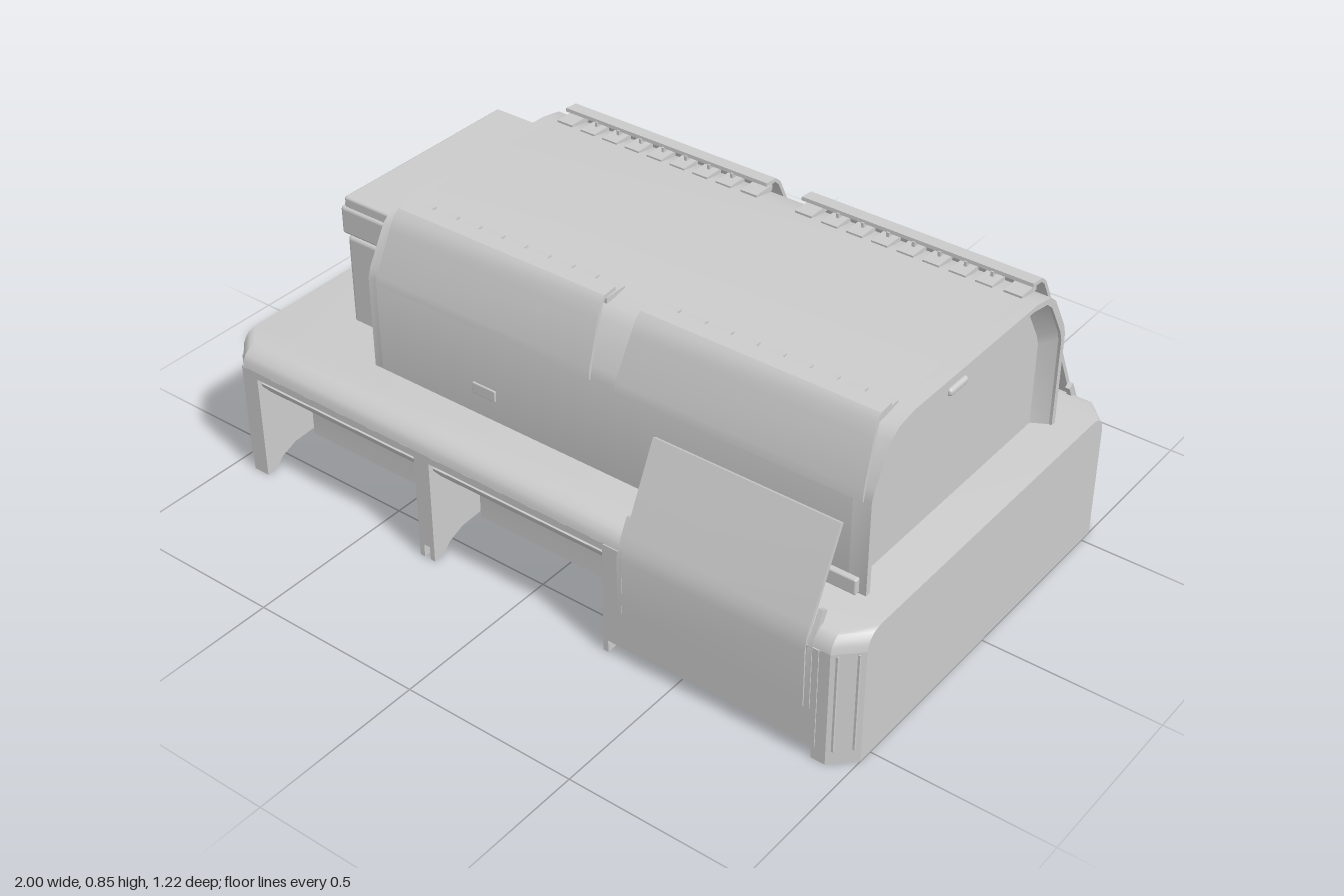
import * as THREE from 'three';
import { toCreasedNormals } from 'three/addons/utils/BufferGeometryUtils.js';
import { RoundedBoxGeometry } from 'three/addons/geometries/RoundedBoxGeometry.js';
import { ConvexGeometry } from 'three/addons/geometries/ConvexGeometry.js';

const grey = new THREE.MeshStandardMaterial({ color: 0xcccccc, side: THREE.DoubleSide });
const MID = 0.44; // mid height of the container

export function createModel() {
  const root = new THREE.Group();
  const add = (name, geo) => {
    const m = new THREE.Mesh(geo, grey);
    m.name = name;
    root.add(m);
    return m;
  };
  const box = (name, x0, x1, y0, y1, z0, z1, r = 0) => {
    const s = [x1 - x0, y1 - y0, Math.abs(z1 - z0)];
    const m = add(name, r ? new RoundedBoxGeometry(...s, 3, r) : new THREE.BoxGeometry(...s));
    m.position.set((x0 + x1) / 2, (y0 + y1) / 2, (z0 + z1) / 2);
    return m;
  };
  // extrude a [z, y] outline along x
  const alongX = (pts, x0, x1, hole) => {
    const v = (list) => list.map(([z, y]) => new THREE.Vector2(-z, y));
    const s = new THREE.Shape(v(pts));
    if (hole) s.holes.push(new THREE.Path(v(hole)));
    const g = new THREE.ExtrudeGeometry(s, { depth: x1 - x0, bevelEnabled: false });
    return toCreasedNormals(g.rotateY(Math.PI / 2).translate(x0, 0, 0), 0.6);
  };
  // thin sheet that follows a [z, y] line
  const sheet = (line, t, x0, x1) => {
    const inner = line.map(([z, y], i) => {
      const a = line[Math.max(i - 1, 0)], b = line[Math.min(i + 1, line.length - 1)];
      const dz = b[0] - a[0], dy = b[1] - a[1], l = Math.hypot(dz, dy);
      return [z - (dy / l) * t, y + (dz / l) * t];
    });
    return alongX([...line, ...inner.reverse()], x0, x1);
  };
  // band of faces between two [z, y] rings at different x
  const loft = (a, xa, b, xb) => {
    const n = a.length, pos = [], idx = [];
    for (let i = 0; i < n; i++) {
      const j = (i + 1) % n;
      pos.push(xa, a[i][1], a[i][0], xb, b[i][1], b[i][0]);
      idx.push(2 * i, 2 * i + 1, 2 * j, 2 * j, 2 * i + 1, 2 * j + 1);
    }
    const g = new THREE.BufferGeometry();
    g.setAttribute('position', new THREE.Float32BufferAttribute(pos, 3));
    g.setIndex(idx);
    return toCreasedNormals(g, 0.6);
  };
  const flip = (line, s) => line.map(([z, y]) => [z * s, y]);

  // deck with rounded long edges and cut corners
  const deck = [];
  for (const sx of [-1, 1]) for (const sz of [-1, 1]) {
    for (const [z, y] of [[0.6, 0.335], [0.596, 0.354], [0.587, 0.368], [0.573, 0.379], [0.55, 0.385]]) {
      deck.push(new THREE.Vector3(0.94 * sx, y, z * sz), new THREE.Vector3(sx, y, (z - 0.06) * sz));
    }
  }
  add('deck', toCreasedNormals(new ConvexGeometry(deck), 0.5));

  // end walls, wrapped round the corners
  for (const sx of [-1, 1]) {
    const half = [[0.935, 0.57], [0.9, 0.57], [0.9, 0.6], [0.94, 0.6], [1, 0.54]];
    const plan = [[0.975, 0.53], ...half];
    const outline = [...plan, ...plan.map(([x, z]) => [x, -z]).reverse()];
    const s = new THREE.Shape(outline.map(([x, z]) => new THREE.Vector2(x * sx, z)));
    const g = new THREE.ExtrudeGeometry(s, { depth: 0.336, bevelEnabled: false });
    add('endWall', g.rotateX(-Math.PI / 2));
    // slim corner rails and feet
    for (const sz of [-1, 1]) {
      for (const d of [-0.018, 0.018]) {
        const rail = box('cornerRail', -0.003, 0.003, 0.04, 0.33, -0.003, 0.003);
        rail.position.set(sx * (0.97 + d), 0.185, sz * (0.57 - d));
      }
      box('cornerClip', sx * 0.945 - 0.02, sx * 0.945 + 0.02, 0.02, 0.045, sz * 0.54, sz * 0.575);
    }
  }

  // container running through the deck, with recessed end faces
  const upper = [[0.43, 0.655], [0.42, 0.685], [0.362, 0.785], [0.335, 0.808], [0.27, 0.82]];
  const ring = (inset) => {
    const q = upper.map(([z, y]) => [z - inset, y - inset * 0.8]);
    const right = [...q.map(([z, y]) => [z, 2 * MID - y]).reverse(), ...q];
    return [...right, ...flip(right, -1).reverse()];
  };
  add('container', alongX(ring(0), -0.59, 0.87));
  for (const [inner, outer] of [[0.87, 0.92], [-0.59, -0.615]]) {
    add('endRim', alongX(ring(0), Math.min(inner, outer), Math.max(inner, outer), ring(0.016)));
    add('endBevel', loft(ring(0.016), outer - Math.sign(outer) * 0.008, ring(0.04), inner));
  }
  box('endHandle', 0.86, 0.88, 0.704, 0.726, -0.04, 0.04, 0.009);

  // curled cover panels on all four long edges, vents along the top ones
  const curl = [[0.436, 0.65], [0.432, 0.675], [0.385, 0.79], [0.37, 0.825], [0.352, 0.841], [0.31, 0.845]];
  for (const sz of [-1, 1]) for (const [x0, x1] of [[-0.585, 0.115], [0.19, 0.9]]) {
    const c = (x0 + x1) / 2;
    for (const top of [1, -1]) {
      const mapY = (y) => (top > 0 ? y : 2 * MID - y);
      const g = sheet(curl.map(([z, y]) => [z * sz, mapY(y)]), 0.01 * sz * top, x0, x1);
      const p = g.attributes.position;
      for (let i = 0; i < p.count; i++) {
        const t = THREE.MathUtils.clamp((mapY(p.getY(i)) - 0.65) / 0.195, 0, 1);
        p.setX(i, c + (p.getX(i) - c) * (1 - 0.05 * t));
      }
      add('coverPanel', g);
    }
    for (let i = 0; i < 7; i++) {
      const x = c - 0.225 + i * 0.075;
      box('ventTooth', x - 0.024, x + 0.024, 0.812, 0.825, sz * 0.268, sz * 0.33);
      box('ventRib', x - 0.004, x + 0.004, 0.812, 0.838, sz * 0.305, sz * 0.345);
    }
    for (const x of [c - 0.305, c + 0.305]) box('panelBracket', x - 0.025, x + 0.025, 0.81, 0.826, sz * 0.27, sz * 0.34);
  }

  // both long sides
  const bays = [[-0.89, -0.33], [-0.28, 0.28]];
  for (const sz of [-1, 1]) {
    box('deckLip', -0.92, 0.92, 0.315, 0.336, sz * 0.575, sz * 0.6);
    const pocket = [[0.58, 0.33], [0.5, 0.315], [0.45, 0.28], [0.42, 0.23], [0.41, 0.17], [0.41, 0.035]];
    for (const [x0, x1] of [...bays, [0.295, 0.9]]) add('bayWall', sheet(flip(pocket, sz), 0.008 * sz, x0, x1));
    // slanted bar across each open bay
    const bar = [[0.592, 0.3], [0.588, 0.288], [0.563, 0.258], [0.552, 0.262], [0.57, 0.3]];
    for (const [x0, x1] of bays) add('bayBar', alongX(flip(bar, sz), x0 + 0.005, x1 - 0.005));
    // dividers with a curved lower edge
    const fin = [[0.6, 0.336], [0.6, 0.0], [0.57, 0.0], [0.54, 0.03], [0.49, 0.05], [0.4, 0.055], [0.4, 0.336]];
    for (const [x0, x1] of [[-0.91, -0.89], [-0.33, -0.315], [-0.295, -0.28], [0.28, 0.295], [0.9, 0.915]]) {
      add('divider', alongX(flip(fin, sz), x0, x1));
    }
    box('dividerFace', -0.33, -0.28, 0.04, 0.336, sz * 0.585, sz * 0.6);
    for (const x of [-0.595, 0.125, 0.185]) box('bayTab', x - 0.018, x + 0.018, 0.16, 0.23, sz * 0.42, sz * 0.445);

    // closed bay and raised side flap
    box('sidePanel', 0.285, 0.91, 0.04, 0.336, sz * 0.588, sz * 0.603);
    const flap = [[0.607, 0.15], [0.608, 0.32], [0.602, 0.355], [0.59, 0.385], [0.483, 0.61]];
    add('sideFlap', sheet(flip(flap, sz), 0.012 * sz, 0.345, 0.876));
    for (const x of [0.33, 0.88]) {
      const edge = [[0.606, 0.15], [0.606, 0.32], [0.598, 0.355], [0.565, 0.42]];
      add('flapHinge', sheet(flip(edge, sz), 0.02 * sz, x, x + 0.013));
    }
    const brace = [[0.57, 0.38], [0.55, 0.38], [0.495, 0.515], [0.5, 0.545]];
    for (const x of [0.37, 0.84]) add('flapBrace', alongX(flip(brace, sz), x, x + 0.012));

    // small slot on the container side
    box('sideSlot', -0.272, -0.195, 0.445, 0.48, sz * 0.425, sz * 0.434, 0.004);
  }
  box('sideLatch', 0.61, 0.9, 0.385, 0.43, 0.425, 0.445, 0.005);
  box('sideLatch', 0.5, 0.57, 0.435, 0.47, -0.442, -0.425, 0.005);

  // end locker with stepped lid, handle and feet
  box('locker', -0.812, -0.6, 0.375, 0.648, -0.305, 0.305, 0.012);
  box('lockerSeam', -0.8, -0.6, 0.64, 0.66, -0.295, 0.295);
  box('lockerLid', -0.822, -0.6, 0.655, 0.738, -0.312, 0.312, 0.01);
  box('lockerLidTop', -0.812, -0.6, 0.73, 0.767, -0.305, 0.305, 0.008);
  const handle = [[-0.8, 0.745, -0.28], [-0.83, 0.725, -0.28], [-0.838, 0.705, -0.26],
    [-0.838, 0.705, 0.26], [-0.83, 0.725, 0.28], [-0.8, 0.745, 0.28]];
  const path = new THREE.CurvePath();
  const pts = handle.map((p) => new THREE.Vector3(...p));
  for (let i = 1; i < pts.length; i++) path.add(new THREE.LineCurve3(pts[i - 1], pts[i]));
  add('lidHandle', new THREE.TubeGeometry(path, 60, 0.007, 6));
  for (const z of [-0.14, 0.14]) {
    const foot = new THREE.Shape([[-0.84, 0.385], [-0.805, 0.385], [-0.805, 0.45]].map((p) => new THREE.Vector2(...p)));
    add('lockerFoot', new THREE.ExtrudeGeometry(foot, { depth: 0.016, bevelEnabled: false }).translate(0, 0, z - 0.008));
  }

  // upright valve beside the locker
  const valve = [[0, 0.38], [0.03, 0.38], [0.03, 0.4], [0.022, 0.41], [0.022, 0.58], [0.032, 0.59], [0.032, 0.64], [0.018, 0.66], [0, 0.66]];
  const pipe = add('valve', toCreasedNormals(new THREE.LatheGeometry(valve.map((p) => new THREE.Vector2(...p)), 16), 0.6));
  pipe.position.set(-0.695, 0, -0.36);
  box('valveLever', -0.705, -0.685, 0.6, 0.675, -0.405, -0.345, 0.005);
  return root;
}
